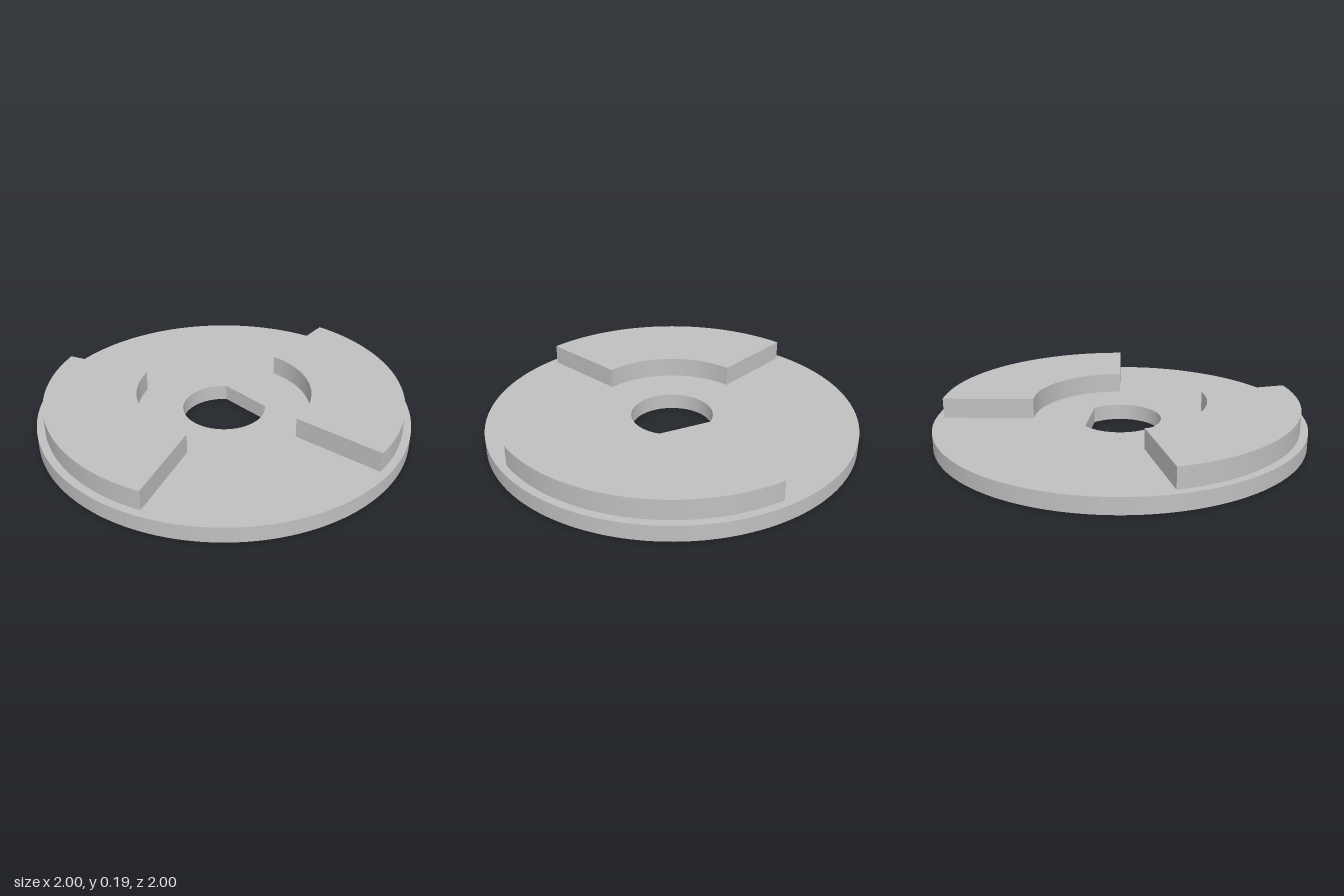
import * as THREE from 'three';
import { toCreasedNormals } from 'three/addons/utils/BufferGeometryUtils.js';

const BASE_TOP = 0.086;
const PAD_TOP = 0.195;
const rad = THREE.MathUtils.degToRad;

// Extrude a flat outline upwards from y0 to y1, smooth on arcs and sharp on edges
function extrudeUp(shape, y0, y1) {
  const geometry = new THREE.ExtrudeGeometry(shape, {
    depth: y1 - y0, bevelEnabled: false, curveSegments: 96,
  });
  geometry.rotateX(-Math.PI / 2);
  geometry.translate(0, y0, 0);
  return toCreasedNormals(geometry, rad(25));
}

// Ring sector between two angles, seen from above
function sector(inner, outer, start, end) {
  const shape = new THREE.Shape();
  shape.absarc(0, 0, outer, rad(start), rad(end), false);
  shape.absarc(0, 0, inner, rad(end), rad(start), true);
  shape.closePath();
  return shape;
}

export function createModel() {
  const model = new THREE.Group();
  model.name = 'keyedDisc';
  const grey = new THREE.MeshStandardMaterial({ color: 0xc0c0c0 });
  grey.name = 'grey';

  const add = (name, geometry) => {
    const mesh = new THREE.Mesh(geometry, grey);
    mesh.name = name;
    model.add(mesh);
  };

  // Base disc with a D-shaped shaft hole, flat on +x
  const disc = new THREE.Shape();
  disc.absarc(0, 0, 1, 0, Math.PI * 2, false);
  const hole = new THREE.Path();
  const flat = Math.acos(0.165 / 0.222);
  hole.absarc(0, 0, 0.222, flat, Math.PI * 2 - flat, false);
  hole.closePath();
  disc.holes.push(hole);
  add('baseDisc', extrudeUp(disc, 0, BASE_TOP));

  // Two raised quarter-ring pads
  add('leftPad', extrudeUp(sector(0.468, 0.958, -82.5, 7.5), BASE_TOP, PAD_TOP));
  add('rightPad', extrudeUp(sector(0.468, 0.958, 112.5, 202.5), BASE_TOP, PAD_TOP));

  return model;
}
